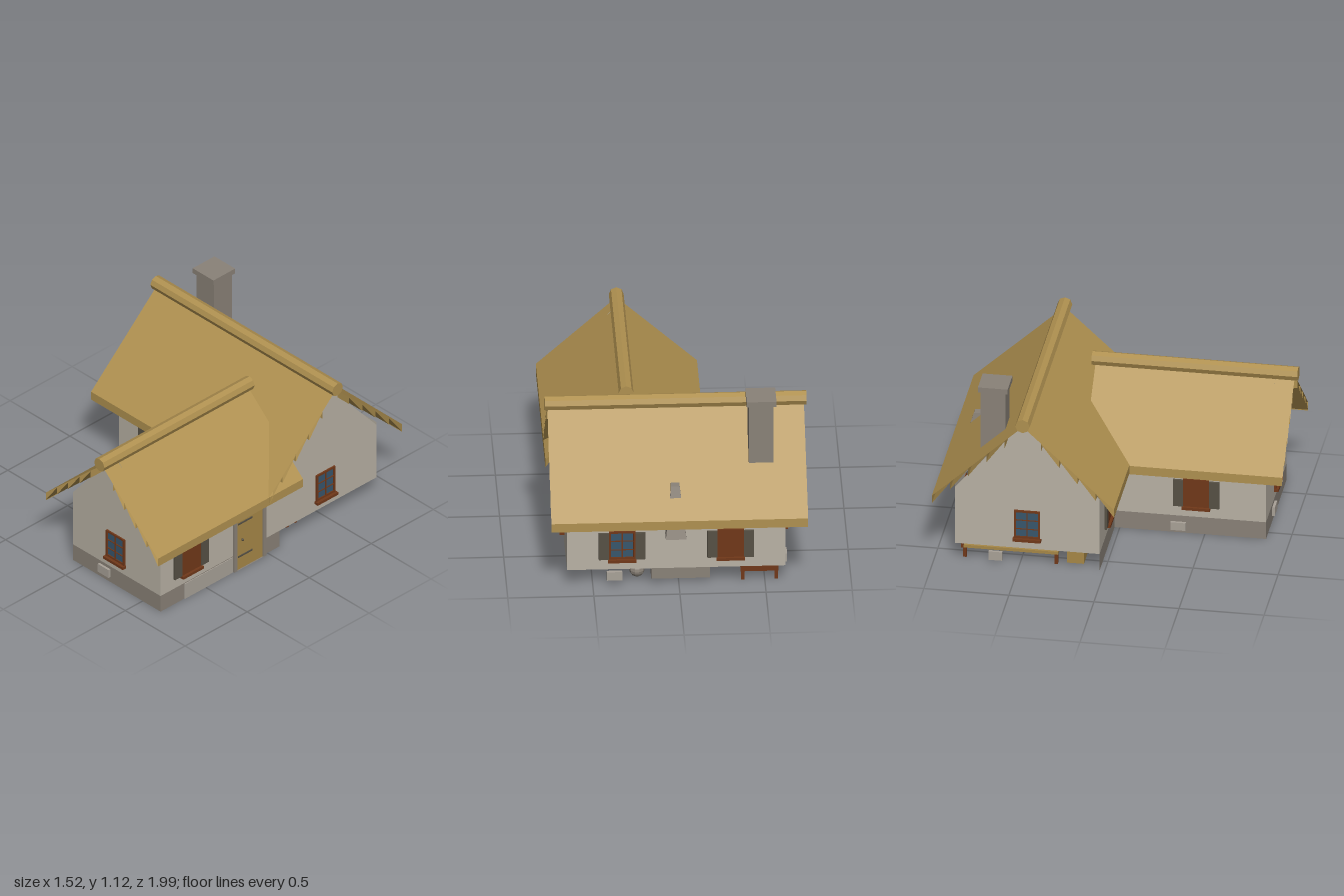
import * as THREE from 'three';

const mat = (name, color, side = THREE.FrontSide) => {
  const m = new THREE.MeshStandardMaterial({ color, side });
  m.name = name;
  m.flatShading = true;
  return m;
};

export function createModel() {
  const D = THREE.DoubleSide;
  const M = {
    wall: mat('plaster', 0xb9b2a5, D),
    stone: mat('stone', 0x8a8278, D),
    pale: mat('pale stone', 0xa9a298),
    thatch: mat('thatch', 0xb09150, D),
    plank: mat('plank', 0xa78847),
    wood: mat('red wood', 0x713819),
    shutter: mat('shutter grey', 0x575145),
    glass: mat('window glass', 0x38566c),
    cloth: mat('green cloth', 0x2c4a26),
  };
  const house = new THREE.Group();
  house.name = 'cottage';

  const add = (parent, name, geo, m) => {
    const mesh = new THREE.Mesh(geo, m);
    mesh.name = name;
    parent.add(mesh);
    return mesh;
  };
  // Box given by its low and high limits on each axis
  const box = (parent, name, m, x0, x1, y0, y1, z0, z1) => {
    const mesh = add(parent, name, new THREE.BoxGeometry(x1 - x0, y1 - y0, z1 - z0), m);
    mesh.position.set((x0 + x1) / 2, (y0 + y1) / 2, (z0 + z1) / 2);
    return mesh;
  };
  // Flat wall: axis 'z' takes [x, y] points, axis 'x' takes [z, y] points
  const wall = (name, m, axis, at, pts) => {
    const geo = new THREE.ShapeGeometry(new THREE.Shape(pts.map(p => new THREE.Vector2(...p))));
    if (axis === 'x') geo.rotateY(-Math.PI / 2);
    const mesh = add(house, name, geo, m);
    mesh.position[axis] = at;
  };
  const rect = (a, b, y0, y1) => [[a, y0], [b, y0], [b, y1], [a, y1]];

  // Plaster walls
  const gable = [[-0.88, 0.11], [-0.03, 0.11], [-0.03, 0.47], [-0.425, 0.94], [-0.485, 0.94], [-0.88, 0.48]];
  wall('mainGableLeft', M.wall, 'x', 0.65, gable);
  wall('mainGableRight', M.wall, 'x', -0.62, gable);
  wall('backWall', M.wall, 'z', -0.88, rect(-0.62, 0.65, 0.11, 0.5));
  wall('mainFrontWall', M.wall, 'z', -0.03, rect(-0.62, -0.08, 0.11, 0.48));
  wall('wingGable', M.wall, 'z', 0.86,
    [[-0.08, 0.11], [0.65, 0.11], [0.65, 0.47], [0.305, 0.88], [0.245, 0.88], [-0.08, 0.48]]);
  wall('wingLeftWall', M.wall, 'x', 0.65, rect(-0.03, 0.86, 0.11, 0.48));
  wall('wingRightWall', M.wall, 'x', -0.08, rect(-0.03, 0.86, 0.11, 0.48));

  // Stone footing under the wing and the main front
  wall('footingFront', M.stone, 'z', 0.86, rect(-0.08, 0.65, 0, 0.11));
  wall('footingWingRight', M.stone, 'x', -0.08, rect(-0.03, 0.86, 0, 0.11));
  wall('footingWingLeft', M.stone, 'x', 0.65, rect(0.26, 0.86, 0, 0.11));
  wall('footingByDoor', M.stone, 'x', 0.65, rect(-0.1, 0.04, 0, 0.11));
  wall('footingMain', M.stone, 'z', -0.03, rect(-0.62, -0.08, 0, 0.11));
  box(house, 'footingSlab', M.pale, 0.65, 0.655, 0.0, 0.105, 0.28, 0.67);
  box(house, 'frontStone', M.pale, 0.14, 0.23, 0.035, 0.09, 0.86, 0.875);
  box(house, 'backStone', M.pale, 0.33, 0.42, 0.045, 0.1, -0.9, -0.88);
  box(house, 'sideStone', M.pale, -0.638, -0.62, 0.025, 0.08, -0.68, -0.6);
  box(house, 'wingStone', M.pale, -0.097, -0.08, 0.02, 0.07, 0.3, 0.39);

  // Roof: two thin slopes, an eave board each, and thatch courses hanging beneath
  const roof = (name, length, ridgeY, half, eaveY, ridgeLength) => {
    const g = new THREE.Group();
    g.name = name;
    const sheet = (n, z0, y0, z1, y1) => {
      const geo = new THREE.PlaneGeometry(length, 1);
      const p = geo.attributes.position;
      for (let i = 0; i < p.count; i++) {
        const top = p.getY(i) > 0;
        p.setXYZ(i, p.getX(i), top ? y0 : y1, top ? z0 : z1);
      }
      geo.computeVertexNormals();
      add(g, n, geo, M.thatch);
    };
    for (const s of [-1, 1]) {
      sheet('slope', 0, ridgeY, s * half, eaveY);
      sheet('eave', s * half, eaveY, s * half, eaveY - 0.055);
      for (let i = 1; i < 5; i++) {
        const t = i / 5, z = s * half * t, y = ridgeY + (eaveY - ridgeY) * t;
        sheet('course', z, y, z, y - 0.05);
        // underside of each course rises to the slope at the one above
        const u = (i + 1) / 5;
        sheet('courseUnder', z, y - 0.004, s * half * u, ridgeY + (eaveY - ridgeY) * u - 0.05);
      }
    }
    const log = add(g, 'ridgeRoll', new THREE.CylinderGeometry(0.043, 0.043, ridgeLength, 8), M.thatch);
    log.rotation.z = Math.PI / 2;
    log.position.y = ridgeY + 0.012;
    house.add(g);
    return g;
  };
  roof('mainRoof', 1.49, 0.975, 0.535, 0.477, 1.52).position.z = -0.46;
  const wingRoof = roof('wingRoof', 1.17, 0.9, 0.468, 0.473, 1.21);
  wingRoof.rotation.y = Math.PI / 2;
  wingRoof.position.set(0.275, 0, 0.387);

  // Chimney
  box(house, 'chimneyShaft', M.stone, -0.557, -0.412, 0.6, 1.09, -0.74, -0.593);
  box(house, 'chimneyCap', M.stone, -0.573, -0.4, 1.087, 1.12, -0.753, -0.578);

  // Oven hood leaning out of the back wall and piercing the thatch
  const hood = new THREE.CylinderGeometry(0.035, 0.085, 0.3, 4).rotateY(Math.PI / 4);
  const hp = hood.attributes.position;
  for (let i = 0; i < hp.count; i++) hp.setZ(i, hp.getZ(i) + hp.getY(i) * 0.2);
  add(house, 'ovenHood', hood, M.stone).position.set(0.02, 0.49, -0.875);

  // Windows, built facing +z then turned
  const windowAt = (name, x, z, turn, shutters, closed) => {
    const g = new THREE.Group();
    g.name = name;
    if (closed) box(g, 'closedPanel', M.wood, -0.076, 0.076, 0.18, 0.36, -0.006, 0.012);
    else {
      box(g, 'glass', M.glass, -0.066, 0.066, 0.185, 0.35, -0.004, 0.004);
      for (const s of [-1, 1]) box(g, 'jamb', M.wood, s * 0.07 - 0.006, s * 0.07 + 0.006, 0.18, 0.36, -0.006, 0.012);
      for (const y of [0.186, 0.24, 0.297, 0.354])
        box(g, 'rail', M.wood, -0.07, 0.07, y - (y > 0.2 && y < 0.33 ? 0.002 : 0.006), y + (y > 0.2 && y < 0.33 ? 0.002 : 0.006), -0.005, 0.01);
      box(g, 'mullion', M.wood, -0.003, 0.003, 0.185, 0.355, -0.005, 0.01);
    }
    box(g, 'sill', M.wood, -0.083, 0.083, 0.163, 0.18, -0.01, 0.028);
    if (shutters) for (const s of [-1, 1])
      box(g, 'shutter', M.shutter, s * 0.106 - 0.03, s * 0.106 + 0.03, 0.178, 0.35, 0, 0.014);
    g.position.set(x, 0, z);
    g.rotation.y = turn;
    house.add(g);
  };
  const Q = Math.PI / 2;
  windowAt('wingFrontWindow', 0.28, 0.86, 0, false, false);
  windowAt('mainFrontWindow', -0.31, -0.03, 0, true, true);
  windowAt('wingLeftWindow', 0.65, 0.62, Q, true, true);
  windowAt('wingRightWindow', -0.08, 0.45, -Q, true, true);
  windowAt('gableLeftWindow', 0.65, -0.463, Q, false, false);
  windowAt('gableRightWindow', -0.62, -0.455, -Q, false, false);
  windowAt('backWindowLeft', 0.33, -0.88, 2 * Q, true, false);
  windowAt('backWindowRight', -0.3, -0.88, 2 * Q, true, true);

  // Front door with an arched stone surround
  const arch = (Path, w, h) => {
    const p = new Path();
    p.moveTo(-w, 0);
    p.lineTo(w, 0);
    p.lineTo(w, h);
    p.absarc(0, h, w, 0, Math.PI, false);
    p.lineTo(-w, 0);
    return p;
  };
  const door = new THREE.Group();
  door.name = 'frontDoor';
  const surround = arch(THREE.Shape, 0.13, 0.335);
  surround.holes.push(arch(THREE.Path, 0.105, 0.335));
  add(door, 'surround', new THREE.ExtrudeGeometry(surround, { depth: 0.035, bevelEnabled: false, curveSegments: 6 }), M.stone).position.z = -0.022;
  add(door, 'leaf', new THREE.ExtrudeGeometry(arch(THREE.Shape, 0.105, 0.335), { depth: 0.014, bevelEnabled: false, curveSegments: 6 }), M.plank).position.z = -0.009;
  for (const y of [0.09, 0.32]) box(door, 'hinge', M.shutter, -0.095, 0.02, y - 0.005, y + 0.005, 0.005, 0.01);
  add(door, 'handle', new THREE.SphereGeometry(0.008, 8, 6), M.shutter).position.set(-0.06, 0.2, 0.01);
  door.position.set(0.65, 0, 0.148);
  door.rotation.y = Q;
  house.add(door);

  // Furniture: a top on four legs
  const stand = (name, x, z, w, d, h, topMat) => {
    const g = new THREE.Group();
    g.name = name;
    box(g, 'top', topMat, -w / 2, w / 2, h - 0.018, h, -d / 2, d / 2);
    for (const sx of [-1, 1]) for (const sz of [-1, 1]) {
      const lx = sx * (w / 2 - 0.012), lz = sz * (d / 2 - 0.012);
      box(g, 'leg', M.wood, lx - 0.01, lx + 0.01, 0, h - 0.018, lz - 0.01, lz + 0.01);
    }
    g.position.set(x, 0, z);
    house.add(g);
  };
  stand('bed', -0.47, -0.56, 0.22, 0.56, 0.08, M.plank);
  box(house, 'bedHead', M.wood, -0.58, -0.36, 0.06, 0.17, -0.85, -0.835);
  box(house, 'chest', M.plank, -0.57, -0.41, 0.01, 0.09, -0.23, -0.13);
  stand('table', 0.22, -0.5, 0.22, 0.3, 0.13, M.plank);
  stand('benchLeft', 0.39, -0.5, 0.07, 0.28, 0.075, M.plank);
  stand('benchRight', 0.06, -0.55, 0.07, 0.25, 0.075, M.plank);
  stand('stool', 0.5, -0.3, 0.09, 0.09, 0.08, M.wood);
  box(house, 'rug', M.cloth, -0.2, 0.1, 0.02, 0.028, -0.45, -0.25);
  box(house, 'cupboard', M.wood, 0.26, 0.4, 0.03, 0.32, -0.14, -0.06);
  box(house, 'innerDoor', M.plank, 0.12, 0.25, 0.01, 0.35, -0.045, -0.03);

  // Hearth with a cauldron
  box(house, 'hearth', M.stone, -0.18, 0.16, 0.03, 0.14, -0.86, -0.66);
  add(house, 'cauldron', new THREE.SphereGeometry(0.045, 10, 8), M.stone).position.set(0.24, 0.06, -0.79);
  return house;
}
